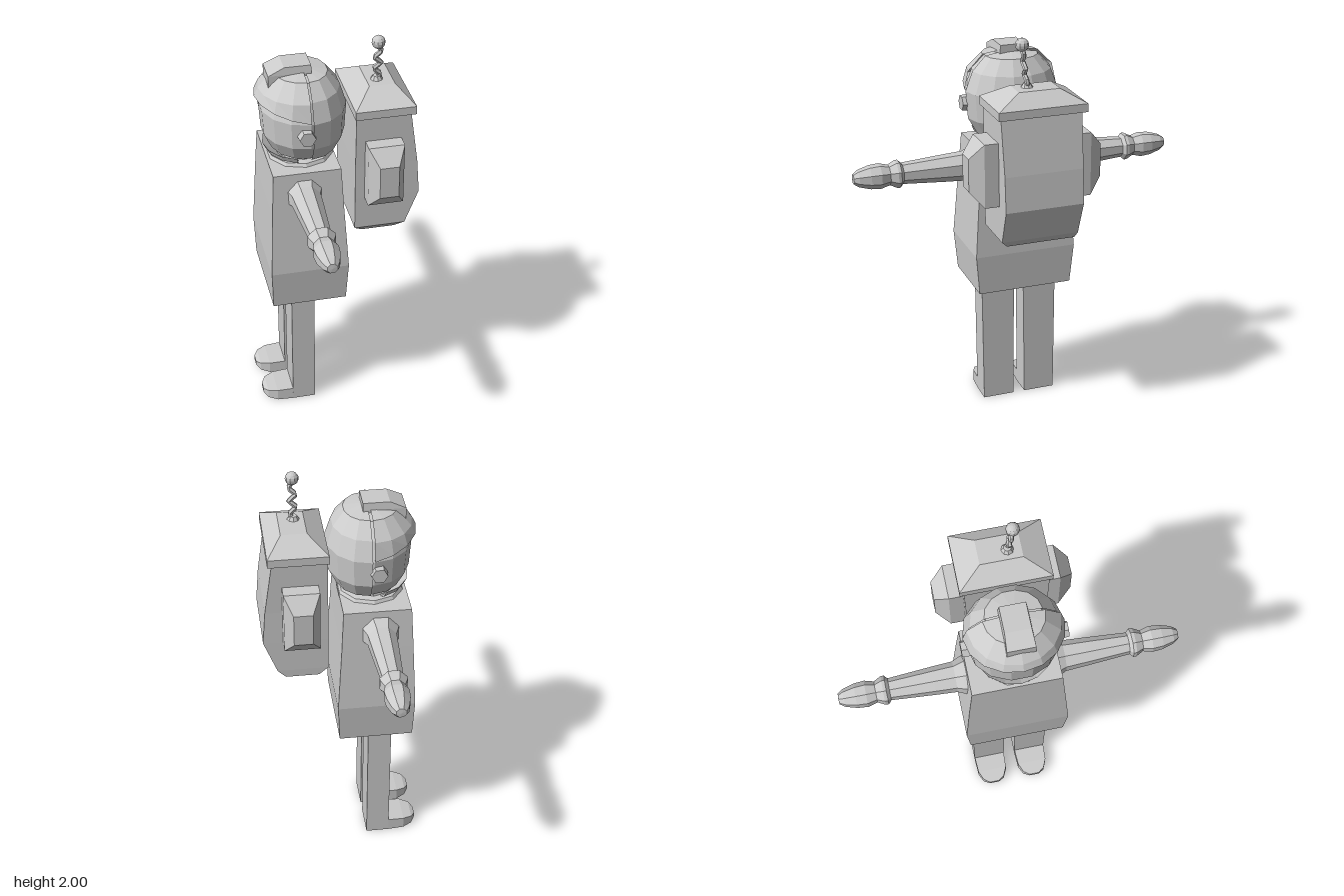
import * as THREE from 'three';

const mat = new THREE.MeshStandardMaterial({ color: 0xcccccc, flatShading: true });
const openMat = new THREE.MeshStandardMaterial({ color: 0xcccccc, flatShading: true, side: THREE.DoubleSide });

// Stack of rectangles [y, x0, x1, z0, z1], bottom to top, skinned and capped.
function stack(rings) {
  const pos = [], idx = [];
  for (const [y, x0, x1, z0, z1] of rings) pos.push(x0, y, z0, x0, y, z1, x1, y, z1, x1, y, z0);
  for (let r = 0; r < rings.length - 1; r++) {
    for (let i = 0; i < 4; i++) {
      const a = r * 4 + i, b = r * 4 + (i + 1) % 4;
      idx.push(a, b, b + 4, a, b + 4, a + 4);
    }
  }
  const t = (rings.length - 1) * 4;
  idx.push(0, 2, 1, 0, 3, 2, t, t + 1, t + 2, t, t + 2, t + 3);
  const g = new THREE.BufferGeometry();
  g.setAttribute('position', new THREE.Float32BufferAttribute(pos, 3));
  g.setIndex(idx);
  g.computeVertexNormals();
  return g;
}

function lathe(points, sides, start = 0, sweep = Math.PI * 2) {
  return new THREE.LatheGeometry(points.map(p => new THREE.Vector2(...p)), sides, start, sweep);
}

function add(parent, name, geometry, x = 0, y = 0, z = 0, material = mat) {
  const m = new THREE.Mesh(geometry, material);
  m.name = name;
  m.position.set(x, y, z);
  parent.add(m);
  return m;
}

// Head: round face, helmet shell, raised brim, crest and ear discs
function makeHead() {
  const head = new THREE.Group();
  head.name = 'head';
  const profile = [[0, -0.185], [0.1, -0.18], [0.175, -0.145], [0.22, -0.065],
    [0.23, 0.07], [0.195, 0.165], [0.13, 0.235], [0, 0.255]];
  add(head, 'face', lathe(profile.map(([r, y]) => [r * 0.97, y * 0.97]), 14)).scale.x = 0.9;
  add(head, 'helmetShell', lathe(profile, 7, 0, Math.PI), 0.01, 0, 0, openMat).scale.x = 0.85;

  const brim = lathe([[0.2, 0.08], [0.232, 0.075], [0.212, 0.165], [0.14, 0.24], [0, 0.262]], 8, Math.PI, Math.PI);
  const p = brim.attributes.position;
  for (let i = 0; i < p.count; i++) {
    const forward = -p.getX(i) / 0.232;
    if (p.getY(i) < 0.1) p.setY(i, p.getY(i) + 0.05 * forward);
  }
  add(head, 'brim', brim, 0, 0, 0, openMat).scale.x = 0.96;

  // Chin guard below the face
  add(head, 'chinGuard', lathe([[0.1, -0.2], [0.19, -0.13], [0.175, -0.16], [0.1, -0.2]], 6, Math.PI * 1.1, Math.PI * 0.8),
    0, 0, 0, openMat);
  add(head, 'crest', stack([[0.19, -0.165, 0.035, -0.065, 0.065], [0.25, -0.165, 0.035, -0.065, 0.065],
    [0.285, -0.09, 0.035, -0.06, 0.06]]));
  for (const s of [1, -1]) {
    const ear = add(head, 'earDisc', new THREE.CylinderGeometry(0.038, 0.042, 0.05, 6), -0.02, 0.005, s * 0.22);
    ear.rotation.set(s * Math.PI / 2, Math.PI / 6, 0);
  }
  head.position.set(-0.145, 1.6, 0.024);
  return head;
}

// Arm: tapered sleeve, cuff ring and mitten, built upright and laid along z
function makeArm(side) {
  const arm = lathe([[0, 0.15], [0.1, 0.19], [0.088, 0.225], [0.073, 0.26], [0.067, 0.36], [0.052, 0.57],
    [0.068, 0.585], [0.068, 0.6], [0.05, 0.635], [0.062, 0.68], [0.058, 0.73], [0.042, 0.785],
    [0.025, 0.81], [0, 0.812]], 8, Math.PI / 8);
  arm.rotateX(side * Math.PI / 2);
  return arm;
}

// Leg with a rounded shoe pointing to -x
function makeLeg(z) {
  const leg = new THREE.Group();
  leg.name = 'leg';
  add(leg, 'trouserLeg', stack([[0, -0.24, -0.125, -0.08, 0.08], [0.68, -0.24, -0.125, -0.086, 0.086]]));
  const shoe = stack([[0.13, 0, 0.062, -0.079, 0.079], [0.24, 0, 0.065, -0.08, 0.08], [0.32, 0.002, 0.062, -0.076, 0.076],
    [0.365, 0.01, 0.055, -0.056, 0.056], [0.385, 0.022, 0.045, -0.025, 0.025]]);
  shoe.rotateZ(Math.PI / 2);
  add(leg, 'shoe', shoe);
  leg.position.z = z;
  return leg;
}

// Backpack with lid, side pockets and a zigzag antenna
function makeBackpack() {
  const pack = new THREE.Group();
  pack.name = 'backpack';
  add(pack, 'packBody', stack([[1.02, 0.11, 0.27, -0.15, 0.19], [1.06, 0.065, 0.31, -0.152, 0.228],
    [1.23, 0.065, 0.375, -0.154, 0.23], [1.4, 0.065, 0.362, -0.154, 0.23], [1.68, 0.067, 0.322, -0.16, 0.235]]));
  add(pack, 'packLid', stack([[1.665, 0.06, 0.345, -0.18, 0.25], [1.705, 0.06, 0.345, -0.18, 0.25],
    [1.768, 0.15, 0.272, -0.07, 0.13]]));
  for (const s of [1, -1]) {
    const pocket = stack([[0.15, -0.085, 0.085, -0.155, 0.155], [0.262, -0.085, 0.085, -0.155, 0.155],
      [0.327, -0.045, 0.045, -0.08, 0.08]]);
    pocket.rotateX(s * Math.PI / 2);
    add(pack, 'sidePocket', pocket, 0.195, 1.385, 0.037);
  }

  const zigzag = new THREE.CurvePath();
  const pts = [];
  for (let i = 0; i <= 6; i++) {
    const offset = i === 0 || i === 6 ? 0 : (i % 2 ? 0.018 : -0.018);
    pts.push(new THREE.Vector3(0.2 + offset, 1.765 + i * 0.031, 0.065 + i * 0.004));
  }
  for (let i = 0; i < 6; i++) zigzag.add(new THREE.LineCurve3(pts[i], pts[i + 1]));
  add(pack, 'antenna', new THREE.TubeGeometry(zigzag, 18, 0.012, 6));
  add(pack, 'antennaBase', new THREE.CylinderGeometry(0.018, 0.032, 0.022, 8), 0.2, 1.775, 0.066);
  add(pack, 'antennaBall', new THREE.SphereGeometry(0.032, 10, 8), 0.2, 1.968, 0.089);
  return pack;
}

export function createModel() {
  const model = new THREE.Group();
  model.name = 'backpackFigure';
  add(model, 'torso', stack([[0.67, -0.34, 0.02, -0.228, 0.246], [0.87, -0.347, 0.03, -0.246, 0.264],
    [1.2, -0.332, 0.01, -0.222, 0.238], [1.4, -0.322, 0, -0.205, 0.222]]));
  add(model, 'collar', lathe([[0.165, 1.39], [0.15, 1.415], [0.12, 1.42], [0.11, 1.46]], 10), -0.155, 0, 0.015, openMat);
  for (const s of [1, -1]) {
    add(model, 'arm', makeArm(s), -0.175, 1.28, 0);
  }
  model.add(makeLeg(0.102), makeLeg(-0.119), makeHead(), makeBackpack());
  return model;
}
